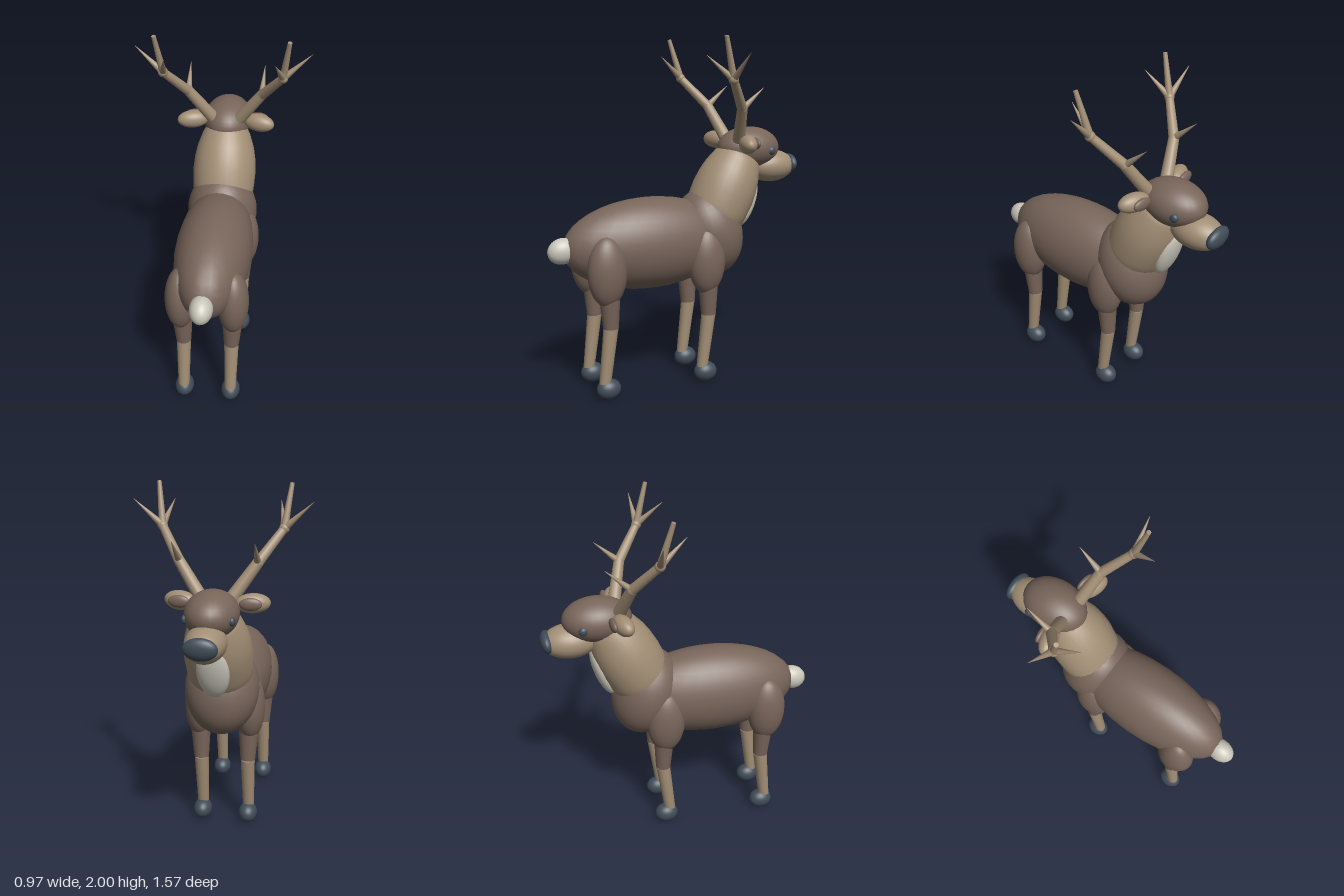
import * as THREE from 'three';

const mat = (name, color) => {
  const m = new THREE.MeshStandardMaterial({ color });
  m.name = name;
  return m;
};

export function createModel() {
  const brown = mat('brown fur', 0x78655a);
  const tan = mat('tan fur', 0xa28e75);
  const cream = mat('cream fur', 0xc9c6ba);
  const slate = mat('dark slate', 0x404c58);

  const deer = new THREE.Group();
  deer.name = 'deer';
  const V = (x, y, z) => new THREE.Vector3(x, y, z);

  // Ellipsoid from centre, radii and tilt
  function blob(parent, name, material, c, r, rot = [0, 0, 0]) {
    const m = new THREE.Mesh(new THREE.SphereGeometry(1, 28, 20), material);
    m.name = name;
    m.position.set(...c);
    m.scale.set(...r);
    m.rotation.set(...rot);
    parent.add(m);
    return m;
  }

  // Tapered rod between two points
  function rod(parent, name, material, a, b, ra, rb) {
    const d = b.clone().sub(a);
    const m = new THREE.Mesh(new THREE.CylinderGeometry(rb, ra, d.length(), 16), material);
    m.name = name;
    m.position.copy(a).addScaledVector(d, 0.5);
    m.quaternion.setFromUnitVectors(V(0, 1, 0), d.normalize());
    parent.add(m);
    return m;
  }

  // Torso and tail
  blob(deer, 'body', brown, [0, 0.845, 0.18], [0.22, 0.265, 0.52]);
  blob(deer, 'chest', brown, [0, 0.875, -0.2], [0.21, 0.265, 0.2], [0.3, 0, 0]);
  blob(deer, 'tail', cream, [0, 0.845, 0.7], [0.063, 0.073, 0.086], [0.2, 0, 0]);

  // Neck, leaning forward
  const neckProfile = [[0, -0.06], [0.14, -0.05], [0.175, 0], [0.185, 0.08], [0.189, 0.17],
    [0.183, 0.24], [0.17, 0.31], [0.142, 0.39], [0.105, 0.46], [0, 0.5]]
    .map(p => new THREE.Vector2(...p));
  const neck = new THREE.Mesh(new THREE.LatheGeometry(neckProfile, 32), tan);
  neck.name = 'neck';
  neck.position.set(0, 0.95, -0.22);
  neck.rotation.x = -Math.atan2(0.21, 0.43);
  deer.add(neck);
  blob(deer, 'throatPatch', cream, [0, 1.045, -0.448], [0.09, 0.165, 0.052], [-0.32, 0, 0]);

  // Head
  blob(deer, 'head', brown, [0, 1.365, -0.465], [0.143, 0.125, 0.195]);
  blob(deer, 'muzzle', tan, [0, 1.248, -0.62], [0.108, 0.097, 0.157]);
  blob(deer, 'nose', slate, [0, 1.255, -0.747], [0.09, 0.06, 0.038], [-0.12, 0, 0]);

  for (const s of [1, -1]) {
    const side = s > 0 ? 'left' : 'right';

    // Eye and ear
    blob(deer, side + 'Eye', slate, [s * 0.122, 1.352, -0.555], [0.018, 0.025, 0.025]);
    blob(deer, side + 'Ear', tan, [s * 0.195, 1.402, -0.35], [0.094, 0.053, 0.05], [0, s * -0.3, 0]);
    blob(deer, side + 'InnerEar', brown, [s * 0.19, 1.407, -0.402], [0.06, 0.034, 0.02], [0, s * -0.1, 0]);

    // Antler: two-part beam with side tines
    const antler = new THREE.Group();
    antler.name = side + 'Antler';
    deer.add(antler);
    const base = V(s * 0.08, 1.42, -0.355);
    const mid = V(s * 0.21, 1.605, -0.3);
    const fork = V(s * 0.33, 1.77, -0.175);
    rod(antler, 'lowerBeam', tan, base, mid, 0.037, 0.03);
    blob(antler, 'beamJoint', tan, mid.toArray(), [0.03, 0.03, 0.03]);
    rod(antler, 'upperBeam', tan, mid, fork, 0.029, 0.023);
    blob(antler, 'forkJoint', tan, fork.toArray(), [0.028, 0.028, 0.028]);
    rod(antler, 'topTine', tan, fork, V(s * 0.36, 2, -0.112), 0.021, 0.012);
    for (const [from, to] of [
      [mid, V(s * 0.215, 1.725, -0.437)],
      [fork, V(s * 0.483, 1.91, -0.19)],
      [fork, V(s * 0.295, 1.9, -0.028)],
    ]) rod(antler, 'tine', tan, from, to, 0.021, 0.001);

    // Legs
    for (const [end, z] of [['Front', -0.115], ['Hind', 0.495]]) {
      const leg = new THREE.Group();
      leg.name = side + end + 'Leg';
      deer.add(leg);
      blob(leg, 'thigh', brown, [s * 0.146, 0.737, z], [0.087, 0.198, 0.112]);
      rod(leg, 'knee', brown, V(s * 0.142, 0.62, z - 0.012), V(s * 0.138, 0.415, z - 0.018), 0.06, 0.044);
      rod(leg, 'shin', tan, V(s * 0.138, 0.415, z - 0.018), V(s * 0.138, 0.09, z + 0.022), 0.042, 0.033);
      blob(leg, 'hoof', slate, [s * 0.138, 0.06, z], [0.055, 0.058, 0.07]);
    }
  }
  return deer;
}
